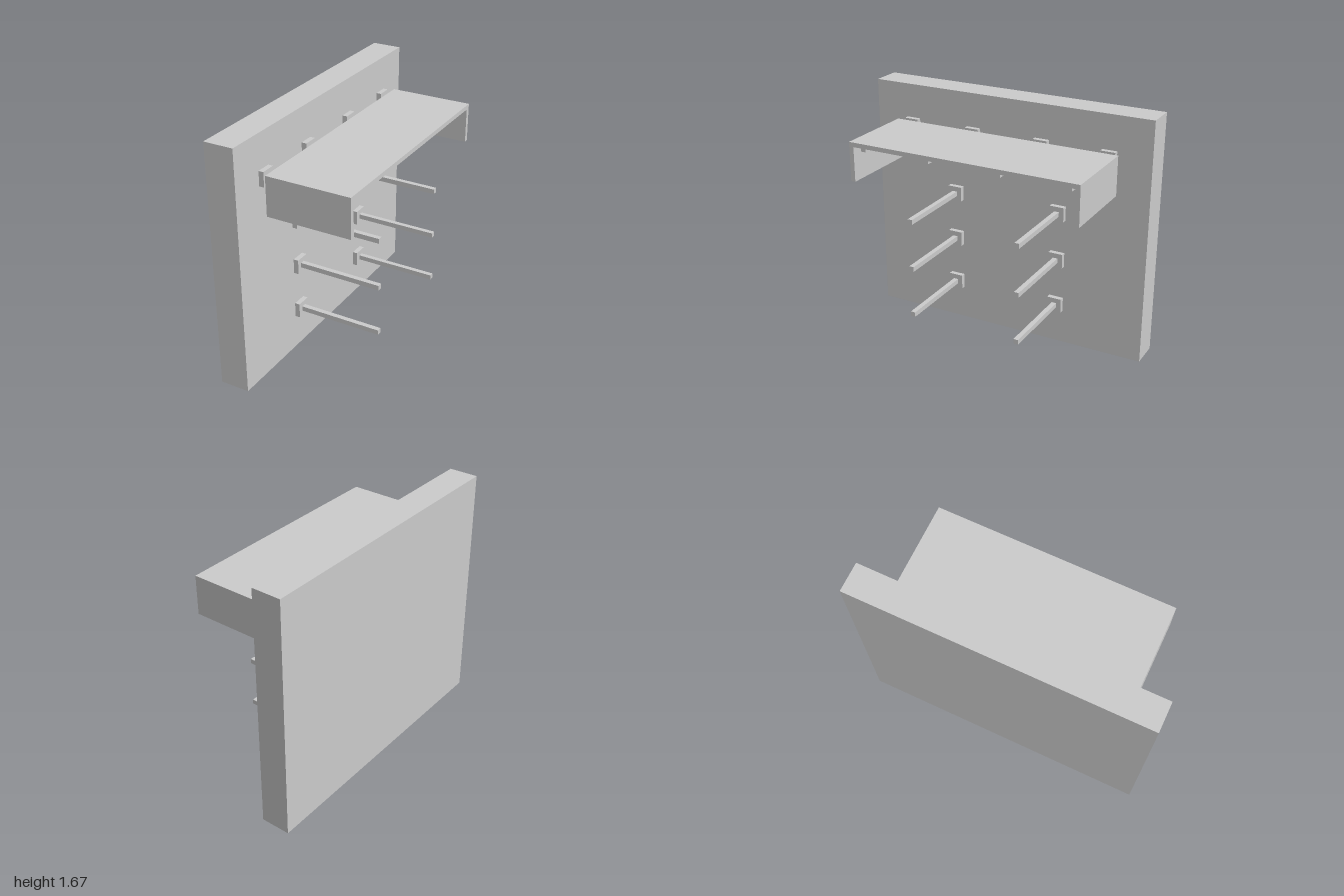
import * as THREE from 'three';

const material = new THREE.MeshStandardMaterial({ color: 0xcccccc, flatShading: true });

// Box given by its [min, max] extent along each axis
function box(name, [x0, x1], [y0, y1], [z0, z1]) {
  const mesh = new THREE.Mesh(new THREE.BoxGeometry(x1 - x0, y1 - y0, z1 - z0), material);
  mesh.position.set((x0 + x1) / 2, (y0 + y1) / 2, (z0 + z1) / 2);
  mesh.name = name;
  return mesh;
}

const around = (centre, size) => [centre - size / 2, centre + size / 2];

// Square mounting plate with a thin square rod standing out of the wall
function makePeg(name, y, z) {
  const peg = new THREE.Group();
  peg.name = name;
  peg.add(
    box('mountingPlate', [-0.217, -0.183], around(y, 0.1), around(z, 0.1)),
    box('rod', [-0.183, 0.383], around(y, 0.033), around(z, 0.033)),
  );
  return peg;
}

export function createModel() {
  const model = new THREE.Group();
  model.name = 'wallShelf';

  // Thick wall panel
  model.add(box('wall', [-0.417, -0.217], [0, 1.667], [-1, 1]));

  // Shelf: top board with two side boards, open below and at both ends
  const shelf = new THREE.Group();
  shelf.name = 'shelf';
  const depth = [-0.15, 0.417];
  shelf.add(
    box('shelfTop', depth, [1.403, 1.433], [-0.8, 0.8]),
    box('shelfSide', depth, [1.168, 1.403], [0.768, 0.8]),
    box('shelfSide', depth, [1.168, 1.403], [-0.8, -0.768]),
  );
  model.add(shelf);

  // Four pegs carrying the shelf
  for (const z of [-0.717, -0.25, 0.25, 0.717]) model.add(makePeg('shelfPeg', 1.385, z));

  // Two columns of free pegs below
  for (const y of [0.286, 0.619, 0.952]) {
    for (const z of [-0.383, 0.383]) model.add(makePeg('peg', y, z));
  }

  return model;
}
